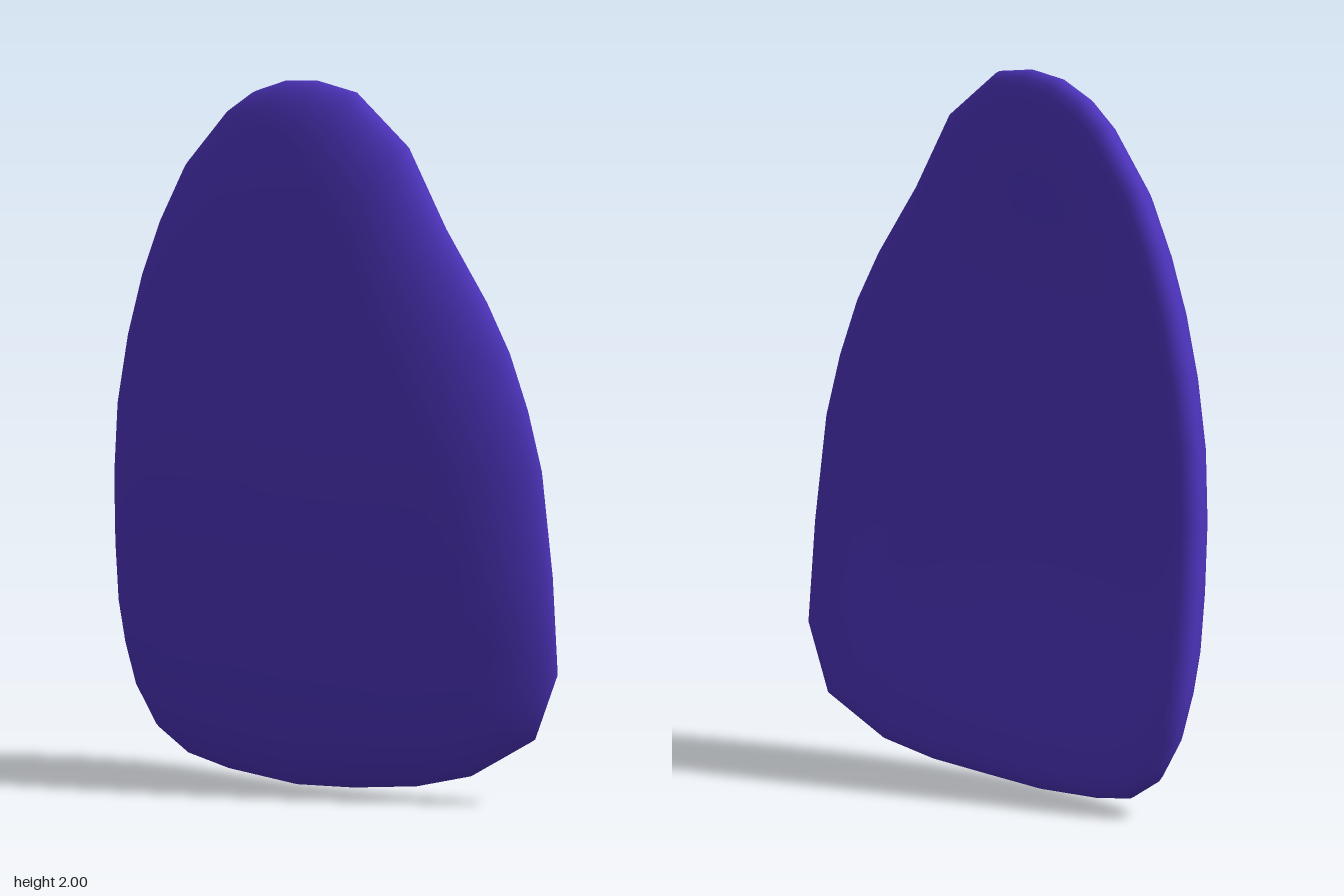
import * as THREE from 'three';
import { mergeVertices } from 'three/addons/utils/BufferGeometryUtils.js';

// Outline of the plate, counter-clockwise from the top
const OUTLINE = [
  [0.06, 2], [-0.05, 1.99], [-0.16, 1.95], [-0.25, 1.89], [-0.4, 1.73], [-0.49, 1.57],
  [-0.56, 1.41], [-0.62, 1.23], [-0.67, 1.03], [-0.7, 0.82], [-0.72, 0.62], [-0.735, 0.45],
  [-0.73, 0.33], [-0.71, 0.21], [-0.645, 0.1], [-0.53, 0.04], [-0.36, 0.015], [-0.1, 0],
  [0.1, 0.01], [0.3, 0.03], [0.46, 0.07], [0.635, 0.18], [0.715, 0.37], [0.73, 0.65],
  [0.72, 0.95], [0.69, 1.12], [0.645, 1.28], [0.585, 1.42], [0.47, 1.62], [0.35, 1.84], [0.18, 1.98],
];
const CENTRE = [0, 0.9];
const HALF_THICKNESS = 0.075;
const RINGS = 18; // rings per face, from the middle to the rim

// Bowed middle surface: sweeps back to the left side, and at top and bottom
function bow(x, y) {
  const dx = x + 0.2, dy = y - 1.15;
  const across = (dx > 0 ? 0.37 : 0.12) * dx * dx;
  const along = (dy > 0 ? 0.09 : 0.12) * dy * dy;
  return 0.163 - across - along;
}

// Rings run from the middle of the front, round the full rim, to the middle of the back
function plateGeometry() {
  const n = OUTLINE.length, positions = [], indices = [];
  for (let i = 0; i <= 2 * RINGS; i++) {
    const u = i <= RINGS ? i / RINGS : 2 - i / RINGS;
    const angle = (Math.PI / 2) * (1 - Math.pow(1 - Math.pow(u, 3), 1.1));
    const r = Math.pow(Math.sin(angle), 0.22);
    const t = HALF_THICKNESS * Math.cos(angle) * (i <= RINGS ? 1 : -1);
    for (const [ox, oy] of OUTLINE) {
      const x = CENTRE[0] + (ox - CENTRE[0]) * r;
      const y = CENTRE[1] + (oy - CENTRE[1]) * r;
      positions.push(x, y, bow(x, y) + t);
    }
  }
  for (let i = 0; i < 2 * RINGS; i++) {
    for (let j = 0; j < n; j++) {
      const k = (j + 1) % n;
      const a = i * n + j, b = a + n, c = (i + 1) * n + k, d = i * n + k;
      if (i < 2 * RINGS - 1) indices.push(a, b, c);
      else indices.push(a, b, d);
      if (i > 0 && i < 2 * RINGS - 1) indices.push(a, c, d);
    }
  }
  const geometry = new THREE.BufferGeometry();
  geometry.setAttribute('position', new THREE.Float32BufferAttribute(positions, 3));
  geometry.setIndex(indices);
  const merged = mergeVertices(geometry, 1e-5);
  merged.computeVertexNormals();
  return merged;
}

export function createModel() {
  const group = new THREE.Group();
  group.name = 'curvedPlate';
  const plate = new THREE.Mesh(plateGeometry(), new THREE.MeshStandardMaterial({ color: 0x4c33ba }));
  plate.name = 'plate';
  group.add(plate);
  return group;
}
